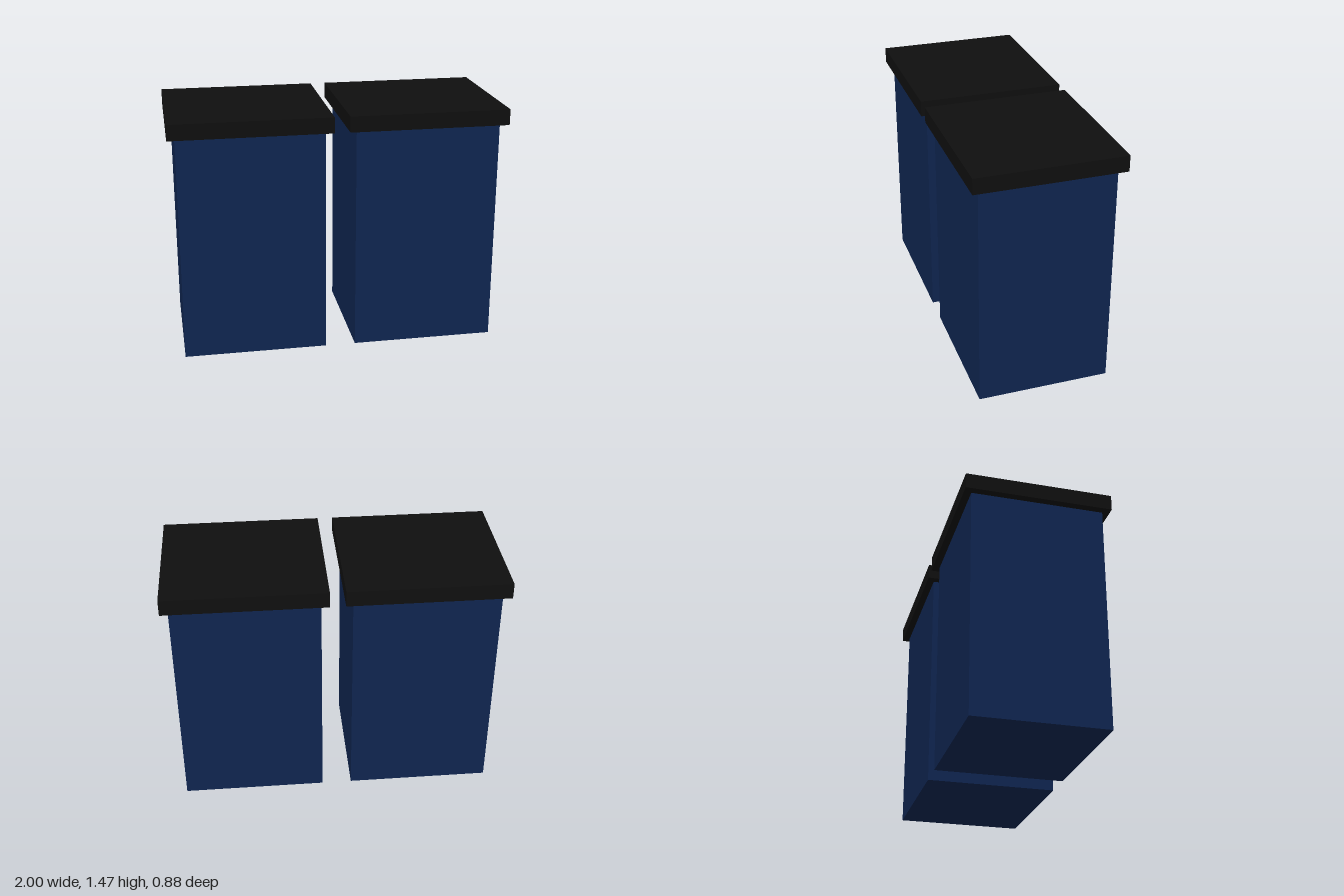
import * as THREE from 'three';

export function createModel() {
  const model = new THREE.Group();
  const navy = new THREE.MeshStandardMaterial({ color: 0x0f2550 });
  navy.name = 'navy blue';
  const black = new THREE.MeshStandardMaterial({ color: 0x0f0f0f });
  black.name = 'black';

  // box standing on height y
  const addBox = (parent, name, w, h, d, y, material) => {
    const mesh = new THREE.Mesh(new THREE.BoxGeometry(w, h, d), material);
    mesh.name = name;
    mesh.position.y = y + h / 2;
    parent.add(mesh);
  };

  // two matching cabinets with overhanging tops
  for (const side of [-1, 1]) {
    const cabinet = new THREE.Group();
    cabinet.name = side > 0 ? 'leftCabinet' : 'rightCabinet';
    addBox(cabinet, 'body', 0.864, 1.37, 0.79, 0, navy);
    addBox(cabinet, 'top', 0.954, 0.095, 0.876, 1.37, black);
    cabinet.position.x = side * 0.523;
    model.add(cabinet);
  }
  return model;
}
